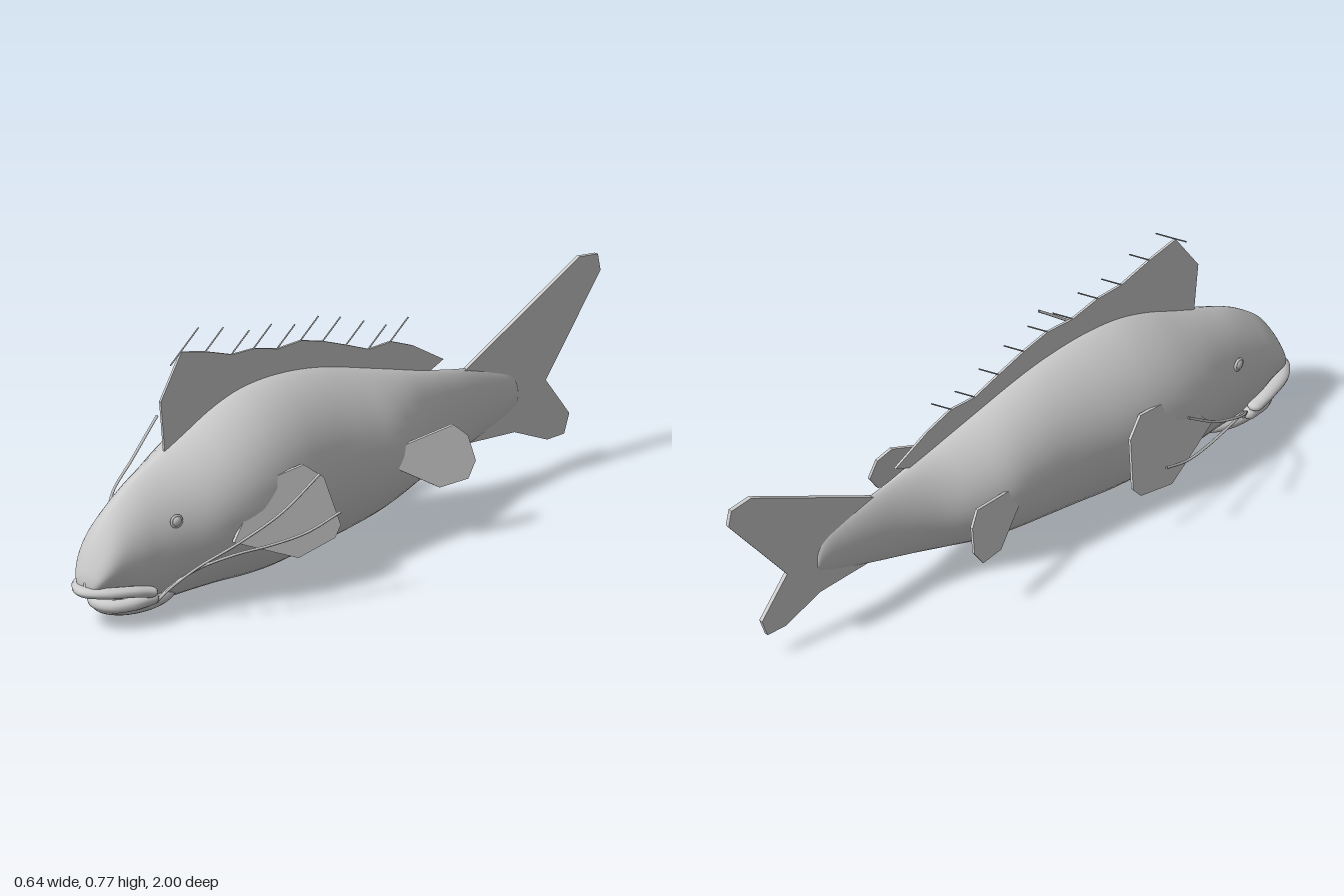
import * as THREE from 'three';

const V = (x, y, z) => new THREE.Vector3(x, y, z);
const material = new THREE.MeshStandardMaterial({ color: 0xcccccc, side: THREE.DoubleSide });
const flatMaterial = new THREE.MeshStandardMaterial({ color: 0xcccccc, flatShading: true, side: THREE.DoubleSide });

function add(parent, name, geometry, mat = material) {
  const mesh = new THREE.Mesh(geometry, mat);
  mesh.name = name;
  parent.add(mesh);
  return mesh;
}

// Body stations from nose to tail: z, top y, bottom y, half width
const stations = [
  [0.975, 0.14, 0.125, 0.004], [0.968, 0.175, 0.105, 0.04], [0.94, 0.245, 0.095, 0.065],
  [0.9, 0.305, 0.075, 0.08], [0.84, 0.357, 0.03, 0.095], [0.78, 0.395, 0.014, 0.108],
  [0.7, 0.43, 0.015, 0.132], [0.6, 0.473, 0.016, 0.166], [0.5, 0.517, 0.013, 0.183],
  [0.4, 0.546, 0.005, 0.186], [0.3, 0.555, 0.003, 0.179], [0.2, 0.55, 0.01, 0.166],
  [0.1, 0.535, 0.018, 0.157], [0, 0.51, 0.03, 0.155], [-0.1, 0.48, 0.048, 0.151],
  [-0.2, 0.45, 0.07, 0.12], [-0.3, 0.42, 0.095, 0.075], [-0.4, 0.393, 0.122, 0.047],
  [-0.5, 0.37, 0.15, 0.032], [-0.6, 0.338, 0.18, 0.021], [-0.65, 0.318, 0.198, 0.016],
  [-0.677, 0.29, 0.212, 0.011], [-0.684, 0.255, 0.235, 0.002],
];

// Smooth loft of pointed-oval cross-sections
function bodyGeometry(rings = 88, sides = 40) {
  const size = new THREE.CatmullRomCurve3(stations.map(s => V(s[1], s[2], s[3])), false, 'catmullrom', 0.5);
  const along = new THREE.CatmullRomCurve3(stations.map(s => V(0, 0, s[0])), false, 'catmullrom', 0.5);
  const pos = [], index = [];
  for (let i = 0; i <= rings; i++) {
    const p = size.getPoint(i / rings), z = along.getPoint(i / rings).z;
    const mid = (p.x + p.y) / 2, half = (p.x - p.y) / 2;
    for (let j = 0; j < sides; j++) {
      const a = j / sides * Math.PI * 2, c = Math.cos(a);
      pos.push(p.z * Math.sign(c) * Math.abs(c) ** 1.4, mid + half * Math.sin(a), z);
      if (i === rings) continue;
      const k = (j + 1) % sides, r = i * sides;
      index.push(r + j, r + sides + j, r + k, r + k, r + sides + j, r + sides + k);
    }
  }
  const g = new THREE.BufferGeometry();
  g.setAttribute('position', new THREE.Float32BufferAttribute(pos, 3));
  g.setIndex(index);
  g.computeVertexNormals();
  return g;
}

// Thin fin from a (z, y) outline, laid on the plane x = offset(y, z)
function finGeometry(outline, thickness, offset = () => 0) {
  const shape = new THREE.Shape(outline.map(([z, y]) => new THREE.Vector2(z, y)));
  const g = new THREE.ExtrudeGeometry(shape, { depth: thickness, bevelEnabled: false });
  const p = g.attributes.position;
  for (let i = 0; i < p.count; i++) {
    const z = p.getX(i), y = p.getY(i), w = p.getZ(i) - thickness / 2;
    p.setXYZ(i, offset(y, z) - w, y, z);
  }
  g.computeVertexNormals();
  return g;
}

const tube = (points, radius, steps = 32, sides = 8) =>
  new THREE.TubeGeometry(new THREE.CatmullRomCurve3(points), steps, radius, sides);

// Lip: a tube mirrored across the middle, squashed in height, with rounded ends
function addLip(parent, name, half, radius, squash) {
  const left = half.map(([x, y, z]) => V(x, y / squash, z));
  const right = left.slice(0, -1).reverse().map(p => V(-p.x, p.y, p.z));
  const lip = new THREE.Group();
  lip.name = name;
  lip.scale.y = squash;
  add(lip, name + 'Roll', tube([...left, ...right], radius, 40, 12));
  for (const end of [left[0], right[right.length - 1]])
    add(lip, name + 'Corner', new THREE.SphereGeometry(radius, 12, 8)).position.copy(end);
  parent.add(lip);
}

export function createModel() {
  const fish = new THREE.Group();
  fish.name = 'fish';
  const trunk = new THREE.Group();
  trunk.name = 'trunk';
  trunk.position.x = -0.006;
  fish.add(trunk);
  add(trunk, 'body', bodyGeometry());

  // Mouth
  const jaw = add(trunk, 'lowerJaw', new THREE.SphereGeometry(1, 28, 18));
  jaw.scale.set(0.083, 0.036, 0.14);
  jaw.position.set(0, 0.05, 0.785);
  addLip(trunk, 'upperLip', [[0.092, 0.095, 0.815], [0.082, 0.107, 0.87], [0.052, 0.113, 0.94], [0, 0.113, 0.975]], 0.023, 0.65);
  addLip(trunk, 'lowerLip', [[0.085, 0.072, 0.8], [0.066, 0.064, 0.86], [0.036, 0.06, 0.9], [0, 0.06, 0.912]], 0.02, 0.95);

  // Dorsal fin with a spine at each tip
  const crest = [[0.605, 0.715], [0.51, 0.69], [0.41, 0.655], [0.325, 0.65], [0.235, 0.625], [0.145, 0.625],
    [0.06, 0.6], [-0.03, 0.565], [-0.115, 0.53], [-0.2, 0.53]];
  add(trunk, 'dorsalFin', finGeometry([[0.67, 0.44], [0.685, 0.59], ...crest, [-0.285, 0.495], [-0.4, 0.425],
    [-0.35, 0.405], [-0.2, 0.4], [0.2, 0.5], [0.45, 0.48]], 0.007), flatMaterial);
  for (const [z, y] of crest)
    add(trunk, 'dorsalSpine', tube([V(0, y - 0.03, z + 0.04), V(0, y, z), V(0, y + 0.052, z - 0.068)], 0.0022, 4, 5));

  // Tail fin
  add(trunk, 'tailFin', finGeometry([[-0.47, 0.365], [-0.49, 0.375], [-0.92, 0.585], [-0.99, 0.575], [-1, 0.525],
    [-0.79, 0.26], [-0.88, 0.14], [-0.86, 0.085], [-0.795, 0.085], [-0.67, 0.14], [-0.49, 0.155]], 0.012), flatMaterial);

  // Paired parts
  const pectoral = [[0.58, 0.2], [0.465, 0.34], [0.32, 0.36], [0.265, 0.315], [0.24, 0.18], [0.265, 0.15], [0.39, 0.12]];
  const pelvic = [[-0.07, 0.235], [-0.115, 0.29], [-0.26, 0.32], [-0.295, 0.285], [-0.305, 0.215], [-0.275, 0.17], [-0.19, 0.16]];
  const barbels = {
    upperBarbel: [[0.08, 0.055, 0.785], [0.115, 0.1, 0.765], [0.175, 0.165, 0.715], [0.25, 0.235, 0.63],
      [0.29, 0.3, 0.51], [0.315, 0.387, 0.39]],
    lowerBarbel: [[0.08, 0.055, 0.785], [0.11, 0.1, 0.765], [0.165, 0.155, 0.71], [0.215, 0.185, 0.62],
      [0.255, 0.197, 0.51], [0.287, 0.215, 0.41], [0.315, 0.255, 0.31]],
  };
  for (const side of [1, -1]) {
    const word = side > 0 ? 'left' : 'right';
    add(trunk, word + 'PectoralFin',
      finGeometry(pectoral, 0.009, (y, z) => side * (0.341 - 0.265 * y - 0.19 * z)), flatMaterial);
    add(trunk, word + 'PelvicFin',
      finGeometry(pelvic, 0.009, (y, z) => side * (0.175 - 0.244 * y - 0.32 * z)), flatMaterial);

    const eye = new THREE.Group();
    eye.name = word + 'Eye';
    eye.position.set(side * 0.115, 0.286, 0.735);
    eye.rotation.y = side * (Math.PI / 2 - 0.25);
    add(eye, 'eyeball', new THREE.SphereGeometry(0.015, 20, 14)).scale.z = 0.6;
    add(eye, 'eyelid', new THREE.TorusGeometry(0.016, 0.004, 8, 24));
    trunk.add(eye);

    for (const [name, points] of Object.entries(barbels))
      add(fish, word + name[0].toUpperCase() + name.slice(1),
        tube(points.map(([x, y, z]) => V(side * x, y, z)), 0.004, 40, 7));
  }
  return fish;
}
